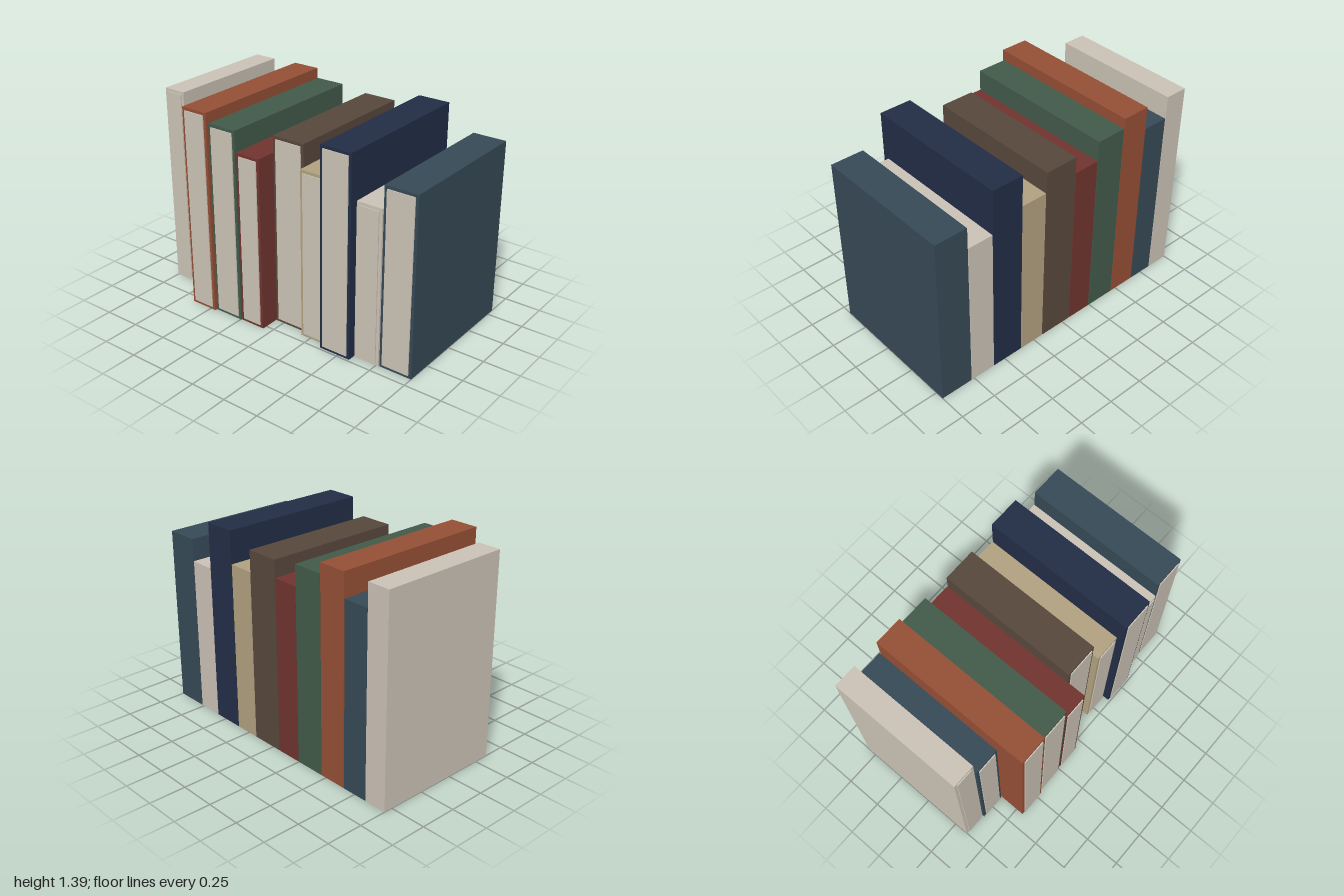
import * as THREE from 'three';

const BACK = -0.56;   // all spines line up here
const BORDER = 0.02;  // cover rim around the pages
const PAGE = 0.007;   // pages stand slightly proud of the cover

function material(name, color) {
  const m = new THREE.MeshStandardMaterial({ color });
  m.name = name;
  return m;
}

// Box given by its minimum and maximum corners
function block(name, min, max, mat) {
  const size = max.map((v, i) => v - min[i]);
  const mesh = new THREE.Mesh(new THREE.BoxGeometry(...size), mat);
  mesh.position.set(...max.map((v, i) => (v + min[i]) / 2));
  mesh.name = name;
  return mesh;
}

export function createModel() {
  const cream = material('cream', 0xcac1b4);
  const slate = material('slate blue', 0x364956);
  const rust = material('rust', 0x944e35);
  const green = material('green', 0x425a4a);
  const red = material('dark red', 0x70342f);
  const brown = material('brown', 0x57473c);
  const tan = material('tan', 0xb0a07f);
  const navy = material('navy', 0x222d46);

  // Left edge, right edge, height, front of cover, cover colour
  const books = [
    [-1.0, -0.842, 1.385, 0.352, cream],
    [-0.837, -0.66, 1.23, 0.364, slate],
    [-0.655, -0.46, 1.39, 0.553, rust],
    [-0.456, -0.245, 1.32, 0.537, green],
    [-0.24, -0.062, 1.18, 0.532, red],
    [-0.057, 0.175, 1.295, 0.4, brown],
    [0.18, 0.36, 1.15, 0.44, tan],
    [0.364, 0.586, 1.37, 0.485, navy],
    [0.59, 0.768, 1.06, 0.435, cream],
    [0.772, 1.0, 1.21, 0.428, slate],
  ];

  const model = new THREE.Group();
  model.name = 'row of books';
  books.forEach(([x0, x1, height, front, mat], i) => {
    const book = new THREE.Group();
    book.name = `book ${i + 1}`;
    book.add(block('cover', [x0, 0, BACK], [x1, height, front], mat));
    // Fore edge of the page block, facing the front
    book.add(block('pages', [x0 + BORDER, BORDER, front],
      [x1 - BORDER, height - BORDER, front + PAGE], cream));
    model.add(book);
  });
  return model;
}
